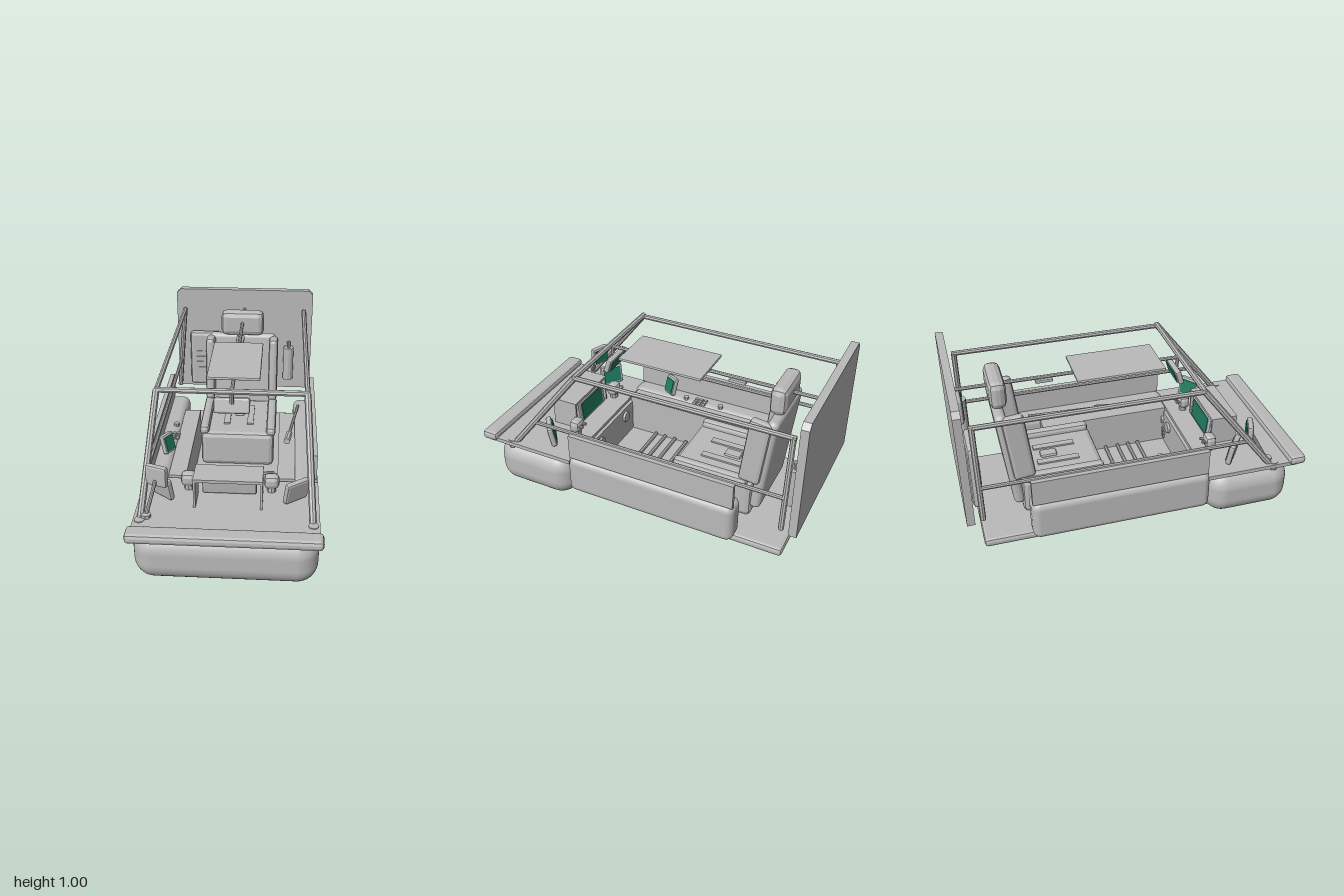
import * as THREE from 'three';
import { RoundedBoxGeometry } from 'three/addons/geometries/RoundedBoxGeometry.js';

export function createModel() {
  const model = new THREE.Group();
  const grey = new THREE.MeshStandardMaterial({ color: 0xbababa });
  grey.name = 'body grey';
  const green = new THREE.MeshStandardMaterial({ color: 0x1f7d62 });
  green.name = 'screen green';

  const add = (name, geo, pos, mat = grey, parent = model) => {
    const m = new THREE.Mesh(geo, mat);
    m.name = name;
    m.position.set(...pos);
    parent.add(m);
    return m;
  };
  // box given by its min and max corners
  const box = (name, a, b, parent) => add(name,
    new THREE.BoxGeometry(b[0] - a[0], b[1] - a[1], b[2] - a[2]),
    [(a[0] + b[0]) / 2, (a[1] + b[1]) / 2, (a[2] + b[2]) / 2], grey, parent);
  // box with flat chamfers
  const bevelBox = (name, size, pos, r, parent) => {
    const g = new RoundedBoxGeometry(...size, 1, r);
    g.computeVertexNormals();
    return add(name, g, pos, grey, parent);
  };
  // smooth inflated box
  const softBox = (name, size, pos, r, parent) =>
    add(name, new RoundedBoxGeometry(...size, 5, r), pos, grey, parent);
  // straight faceted tube between two points
  const beam = (name, a, b, r, sides = 8, parent = model) => {
    const p = new THREE.Vector3(...a), q = new THREE.Vector3(...b);
    const g = new THREE.CylinderGeometry(r, r, p.distanceTo(q), sides).toNonIndexed();
    g.computeVertexNormals();
    const m = add(name, g, p.clone().add(q).multiplyScalar(0.5).toArray(), grey, parent);
    m.quaternion.setFromUnitVectors(new THREE.Vector3(0, 1, 0), q.sub(p).normalize());
    return m;
  };
  // framed display that faces +z before it is turned
  const display = (name, w, h, pos, turn, tilt = 0) => {
    const g = new THREE.Group();
    g.name = name;
    bevelBox(name + 'Frame', [w, h, 0.035], [0, 0, 0], 0.012, g);
    add(name + 'Screen', new THREE.BoxGeometry(w * 0.78, h * 0.74, 0.006), [0, 0, 0.019], green, g);
    g.position.set(...pos);
    g.rotation.set(tilt, turn, 0, 'YXZ');
    model.add(g);
  };

  // hull
  softBox('frontPontoon', [0.98, 0.3, 0.52], [0, 0.152, 0.67], 0.115);
  box('frontDeck', [-0.49, 0.305, 0.39], [0.49, 0.33, 0.95]);
  bevelBox('bumper', [1.01, 0.055, 0.1], [0, 0.337, 0.95], 0.02);
  bevelBox('floor', [0.82, 0.05, 1.36], [0, 0.073, -0.23], 0.018);
  box('instrumentWall', [-0.36, 0.095, 0.37], [0.36, 0.31, 0.42]);

  // rear board
  const s = new THREE.Shape();
  [[-0.465, 0.28], [0.465, 0.28], [0.465, 0.97], [0.435, 1], [-0.435, 1], [-0.465, 0.97]]
    .forEach(([x, y], i) => (i ? s.lineTo(x, y) : s.moveTo(x, y)));
  add('rearBoard', new THREE.ExtrudeGeometry(s, { depth: 0.045, bevelEnabled: false }), [0, 0, -0.995]);

  for (const k of [-1, 1]) {
    // sides
    softBox('sidePontoon', [0.14, 0.25, 1.05], [k * 0.42, 0.225, -0.115], 0.045);
    box('sideConsole', [k * 0.31 - 0.05, 0.095, -0.43], [k * 0.31 + 0.05, 0.34, 0.38]);
    box('sidePanel', [k * 0.468 - 0.013, 0.35, -0.635], [k * 0.468 + 0.013, 0.505, 0.39]);

    // roll cage
    beam('frontPost', [k * 0.455, 0.3, 0.8], [k * 0.41, 0.868, 0.36], 0.019);
    beam('postFoot', [k * 0.455, 0.285, 0.81], [k * 0.455, 0.335, 0.81], 0.028);
    beam('roofRail', [k * 0.41, 0.865, 0.37], [k * 0.405, 0.865, -0.92], 0.015);
    beam('rearPost', [k * 0.405, 0.87, -0.905], [k * 0.455, 0.3, -0.905], 0.016);
    beam('middleRail', [k * 0.44, 0.5, 0.63], [k * 0.44, 0.5, -0.91], 0.012);

    // side displays and grips
    display('sideDisplay', 0.15, 0.13, [k * 0.365, 0.4, 0.585], Math.PI + k * 0.65, -0.18);
    beam('gripStem', [k * 0.23, 0.32, 0.49], [k * 0.23, 0.38, 0.49], 0.025);
    bevelBox('grip', [0.085, 0.08, 0.07], [k * 0.23, 0.395, 0.49], 0.025);
    for (const d of [-0.018, 0.018])
      beam('gripButton', [k * 0.23 + d, 0.4, 0.46], [k * 0.23 + d, 0.405, 0.435], 0.01);
  }
  beam('frontRoofBar', [-0.42, 0.87, 0.36], [0.42, 0.87, 0.36], 0.017);
  beam('centreRoofBar', [0, 0.862, 0.36], [0, 0.862, -0.955], 0.011);
  bevelBox('roofPanel', [0.3, 0.017, 0.515], [0, 0.883, -0.03], 0.006);
  bevelBox('roofLamp', [0.05, 0.02, 0.1], [0, 0.845, -0.45], 0.006);
  for (const z of [0.07, 0.11, 0.15])
    beam('roofSwitch', [0, 0.855, z], [0, 0.835, z], 0.008);

  // seat
  bevelBox('seatBase', [0.46, 0.23, 0.5], [0, 0.21, -0.4], 0.03);
  for (const x of [-0.075, 0.075])
    box('seatStrip', [x - 0.02, 0.32, -0.53], [x + 0.02, 0.335, -0.28]);
  bevelBox('seatBuckle', [0.06, 0.025, 0.1], [0, 0.33, -0.45], 0.01);
  const back = new THREE.Group();
  back.name = 'seatBack';
  back.position.set(0, 0.16, -0.665);
  back.rotation.x = -0.115;
  model.add(back);
  softBox('backCushion', [0.44, 0.62, 0.065], [0, 0.31, 0], 0.03, back);
  for (const k of [-1, 1]) {
    bevelBox('backBolster', [0.06, 0.42, 0.13], [k * 0.208, 0.395, 0.06], 0.022, back);
    bevelBox('seatBolster', [0.06, 0.06, 0.46], [k * 0.21, 0.335, -0.39], 0.022);
    beam('headrestPost', [k * 0.07, 0.72, -0.725], [k * 0.07, 0.82, -0.73], 0.012);
  }
  bevelBox('headrest', [0.28, 0.165, 0.095], [0, 0.853, -0.725], 0.035);

  // dash hood and central display
  box('hoodTop', [-0.185, 0.488, 0.52], [0.185, 0.505, 0.68]);
  for (const k of [-1, 1])
    box('hoodSide', [k * 0.179 - 0.006, 0.33, 0.52], [k * 0.179 + 0.006, 0.488, 0.68]);
  display('mainDisplay', 0.3, 0.15, [0, 0.41, 0.535], Math.PI, -0.1);
  display('overheadDisplay', 0.2, 0.09, [0, 0.775, 0.335], Math.PI, 0.3);
  beam('overheadBracket', [0, 0.86, 0.35], [0, 0.79, 0.345], 0.012);
  display('boardDisplay', 0.17, 0.14, [0, 0.75, -0.935], 0);
  display('consoleDisplay', 0.09, 0.12, [-0.395, 0.42, 0.15], 1.05, -0.25);

  // display on a stalk beside the front post
  beam('stalk', [-0.425, 0.33, 0.78], [-0.38, 0.5, 0.69], 0.01);
  beam('stalkFoot', [-0.425, 0.33, 0.78], [-0.425, 0.35, 0.78], 0.028);
  display('stalkDisplay', 0.125, 0.12, [-0.375, 0.522, 0.675], Math.PI - 0.35);

  // instruments on the wall ahead of the seat
  for (const x of [-0.16, 0.16, 0.28])
    beam('gauge', [x, 0.25, 0.375], [x, 0.25, 0.355], 0.035, 16);
  for (let i = 0; i < 4; i++)
    for (let j = 0; j < 3; j++)
      box('wallKey', [0.22 + i * 0.03, 0.13 + j * 0.025, 0.36], [0.24 + i * 0.03, 0.145 + j * 0.025, 0.37]);
  for (const z of [-0.03, 0.05, 0.12, 0.185])
    beam('footRib', [-0.24, 0.12, z], [0.24, 0.12, z], 0.012);

  // controls on the right console
  for (let i = 0; i < 3; i++)
    for (let j = 0; j < 3; j++)
      box('consoleKey', [-0.42 + j * 0.025, 0.345, -0.1 + i * 0.03], [-0.402 + j * 0.025, 0.358, -0.08 + i * 0.03]);
  for (const z of [-0.2, 0.04])
    beam('consoleKnob', [-0.39, 0.345, z], [-0.39, 0.365, z], 0.018);

  // lever on the left console
  beam('lever', [0.38, 0.36, -0.5], [0.325, 0.38, -0.08], 0.01);
  beam('leverGrip', [0.325, 0.38, -0.08], [0.31, 0.38, 0.02], 0.02);

  // gear mounted on the rear board
  bevelBox('rearPack', [0.22, 0.4, 0.055], [-0.265, 0.51, -0.915], 0.025);
  for (const y of [0.44, 0.48, 0.52, 0.56])
    box('packRib', [-0.33, y, -0.89], [-0.2, y + 0.012, -0.88]);
  beam('bottle', [0.31, 0.37, -0.91], [0.31, 0.605, -0.91], 0.035, 12);
  beam('bottleNeck', [0.31, 0.6, -0.91], [0.31, 0.648, -0.91], 0.012);

  return model;
}
